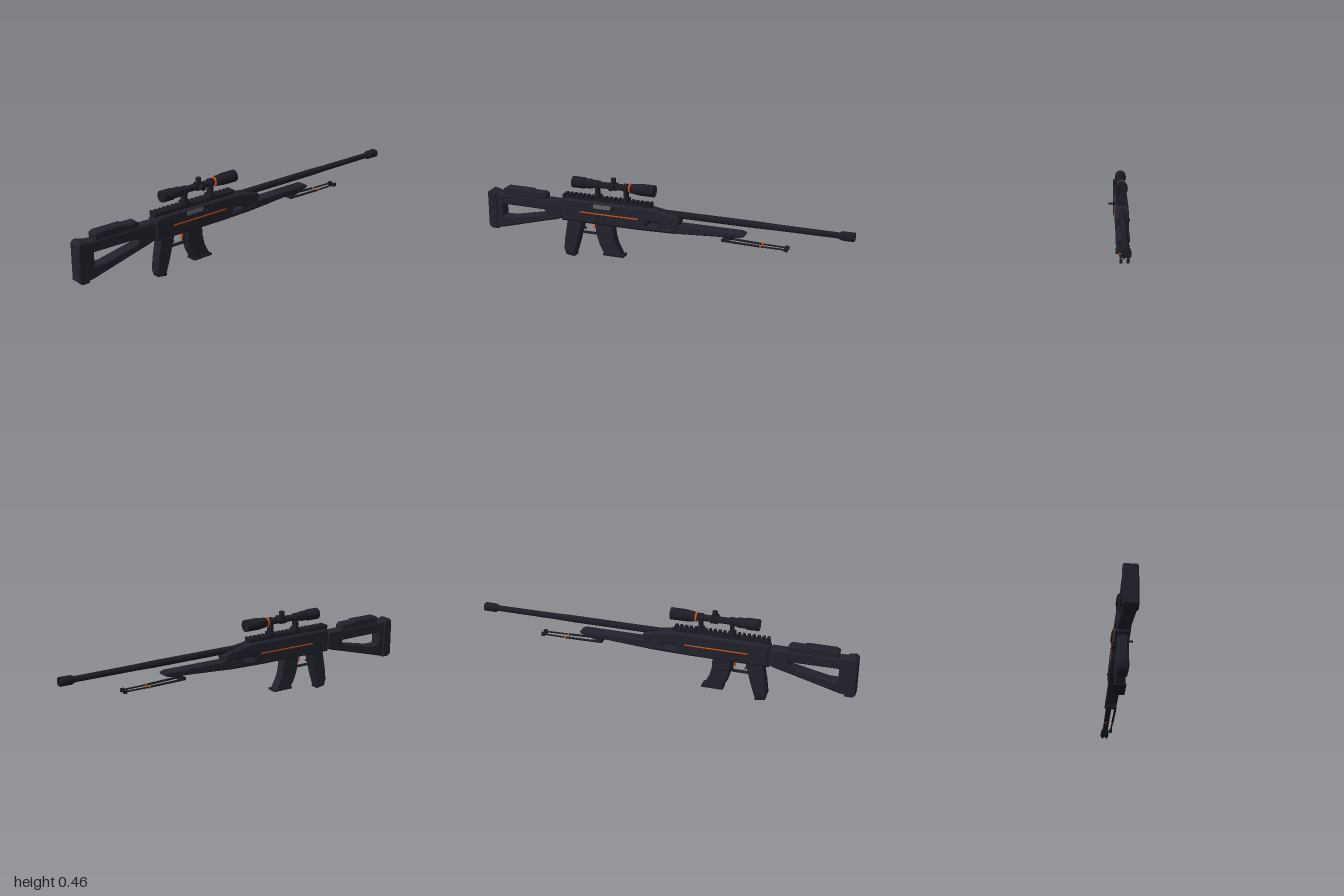
import * as THREE from 'three';
import { toCreasedNormals } from 'three/addons/utils/BufferGeometryUtils.js';

const material = (name, color) => {
  const m = new THREE.MeshStandardMaterial({ color });
  m.name = name;
  return m;
};

export function createModel() {
  const polymer = material('dark polymer', 0x22222d);
  const metal = material('dark metal', 0x1c1c25);
  const orange = material('orange accent', 0xd9540f);
  const steel = material('grey steel', 0x62666a);

  const model = new THREE.Group();
  model.name = 'rifle';
  const body = new THREE.Group();
  body.name = 'body';
  body.position.x = -0.015; // the bolt handle pushes the centre line off zero
  model.add(body);

  const add = (name, geo, mat, x = 0, y = 0, z = 0) => {
    const mesh = new THREE.Mesh(toCreasedNormals(geo, 0.6), mat);
    mesh.name = name;
    mesh.position.set(x, y, z);
    body.add(mesh);
    return mesh;
  };
  const box = (name, mat, w, h, d, x, y, z) => add(name, new THREE.BoxGeometry(w, h, d), mat, x, y, z);

  // Side profile given as [z, y] points, extruded across x with a bevel
  const path = (pts, T) => new T(pts.map(p => new THREE.Vector2(p[0], p[1])));
  const profile = (name, mat, pts, width, bevel = 0.008, holes = []) => {
    const shape = path(pts, THREE.Shape);
    shape.holes = holes.map(h => path(h, THREE.Path));
    const depth = width - 2 * bevel;
    const geo = new THREE.ExtrudeGeometry(shape, {
      depth, bevelEnabled: bevel > 0, bevelSize: bevel, bevelThickness: bevel, bevelOffset: -bevel, bevelSegments: 1,
    });
    geo.translate(0, 0, -depth / 2).rotateY(-Math.PI / 2);
    return add(name, geo, mat);
  };
  // Turned part along z: [radius, z] points with z rising
  const turned = (name, mat, pts, y, x = 0) =>
    add(name, new THREE.LatheGeometry(pts.map(p => new THREE.Vector2(p[0], p[1])), 16).rotateX(Math.PI / 2), mat, x, y, 0);
  const rod = (name, mat, a, b, r) => {
    const curve = new THREE.LineCurve3(new THREE.Vector3(...a), new THREE.Vector3(...b));
    return add(name, new THREE.TubeGeometry(curve, 1, r, 8), mat);
  };

  // Stock with its opening, butt pad and cheek rest
  profile('stock', polymer,
    [[0.97, 0.11], [0.97, 0.315], [0.9, 0.308], [0.57, 0.308], [0.555, 0.295], [0.555, 0.215], [0.6, 0.2], [0.66, 0.185], [0.92, 0.115]],
    0.062, 0.007, [[[0.91, 0.182], [0.91, 0.25], [0.665, 0.248], [0.658, 0.238], [0.67, 0.222], [0.86, 0.182]]]);
  profile('buttPad', polymer,
    [[0.945, 0.105], [0.985, 0.105], [1, 0.118], [1, 0.308], [0.985, 0.321], [0.945, 0.313]], 0.072, 0.006);
  profile('cheekRest', polymer,
    [[0.905, 0.3], [0.905, 0.337], [0.89, 0.347], [0.74, 0.347], [0.73, 0.34], [0.665, 0.34], [0.65, 0.328], [0.65, 0.3]], 0.056, 0.007);

  // Receiver with two open vents near the front
  const vent = (z, len) => [[z, 0.237], [z, 0.25], [z - 0.01, 0.256], [z - len, 0.253], [z - len - 0.008, 0.245], [z - len, 0.237]];
  profile('receiver', polymer,
    [[0.56, 0.203], [0.56, 0.315], [0.535, 0.328], [0.06, 0.328], [-0.06, 0.308], [-0.095, 0.298], [-0.106, 0.285], [-0.1, 0.24], [-0.075, 0.208], [0.13, 0.203]],
    0.07, 0.01, [vent(0.07, 0.052), vent(-0.012, 0.048)]);

  // Top rail with teeth
  box('rail', metal, 0.042, 0.016, 0.5, 0, 0.331, 0.305);
  for (let i = 0; i < 20; i++) box('railTooth', metal, 0.054, 0.013, 0.014, 0, 0.343, 0.545 - i * 0.0252);

  // Fore-end beneath the barrel
  profile('foreEnd', polymer,
    [[0.14, 0.208], [0.14, 0.225], [-0.09, 0.258], [-0.43, 0.259], [-0.45, 0.251], [-0.448, 0.242], [-0.425, 0.232], [-0.09, 0.21]], 0.062, 0.006);

  // Barrel and slotted muzzle
  turned('barrel', metal, [[0, -0.95], [0.015, -0.95], [0.016, -0.6], [0.018, -0.5], [0.018, 0.05], [0, 0.05]], 0.306);
  turned('muzzle', metal, [[0, -0.968], [0.023, -0.968], [0.023, -0.938], [0.017, -0.925], [0, -0.925]], 0.306);
  for (const s of [1, -1]) {
    const prong = new THREE.Shape();
    prong.absarc(0, 0, 0.023, -1.25, 1.25, false);
    const geo = new THREE.ExtrudeGeometry(prong, { depth: 0.034, bevelEnabled: false, curveSegments: 6 });
    if (s < 0) geo.rotateZ(Math.PI);
    add('muzzleProng', geo, metal, 0, 0.306, -1);
  }

  // Pistol grip, trigger and guard
  profile('grip', polymer,
    [[0.53, 0.21], [0.437, 0.21], [0.45, 0.16], [0.468, 0.09], [0.492, 0.014], [0.55, 0.022], [0.556, 0.04], [0.548, 0.11]], 0.054, 0.009);
  profile('gripBase', metal, [[0.493, 0.016], [0.49, 0.006], [0.497, 0], [0.546, 0.008], [0.55, 0.024]], 0.044, 0.003);
  box('triggerGuard', metal, 0.02, 0.007, 0.095, 0, 0.142, 0.413);
  box('guardFront', metal, 0.02, 0.065, 0.007, 0, 0.172, 0.368);
  profile('trigger', metal, [[0.452, 0.21], [0.438, 0.21], [0.442, 0.18], [0.43, 0.162], [0.436, 0.16], [0.45, 0.178]], 0.012, 0);
  box('magazineRelease', orange, 0.014, 0.03, 0.007, 0, 0.185, 0.381);

  // Curved magazine and floor plate
  profile('magazine', polymer,
    [[0.37, 0.21], [0.267, 0.21], [0.264, 0.15], [0.25, 0.1], [0.218, 0.038], [0.318, 0.038], [0.345, 0.085], [0.362, 0.14]], 0.054, 0.007);
  profile('magazineFloor', metal, [[0.325, 0.034], [0.325, 0.044], [0.212, 0.044], [0.209, 0.034]], 0.06, 0.002);
  profile('magazineRib', metal, [[0.362, 0.155], [0.362, 0.149], [0.265, 0.145], [0.266, 0.151]], 0.056, 0);

  // Side details: stripe, pins and selector on both sides
  for (const s of [1, -1]) {
    box('stripe', orange, 0.003, 0.006, 0.33, s * 0.0355, 0.265, 0.286);
    box('selector', metal, 0.01, 0.009, 0.05, s * 0.036, 0.235, 0.325);
    for (const z of [0.53, 0.35, -0.07])
      add('pin', new THREE.CylinderGeometry(0.007, 0.007, 0.01, 10).rotateZ(Math.PI / 2), metal, s * 0.035, z < 0 ? 0.275 : 0.25, z);
  }

  // Ejection port and bolt handle
  box('ejectionPort', steel, 0.006, 0.022, 0.1, 0.0335, 0.305, 0.322);
  const bolt = (name, r, len, x) =>
    add(name, new THREE.CylinderGeometry(r, r, len, 12).rotateZ(Math.PI / 2), metal, x, 0.303, 0.262);
  bolt('boltCollar', 0.011, 0.012, 0.038);
  bolt('boltHandle', 0.0055, 0.036, 0.051);

  // Scope: tube with eyepiece, objective, ring and lenses
  turned('scope', metal, [
    [0.025, 0.048], [0.025, 0.04], [0.031, 0.04], [0.031, 0.115], [0.026, 0.16], [0.017, 0.185], [0.017, 0.365],
    [0.026, 0.395], [0.026, 0.43], [0.03, 0.435], [0.03, 0.5], [0.025, 0.5], [0.025, 0.492]], 0.416);
  turned('scopeLensFront', metal, [[0, 0.047], [0.026, 0.047], [0.026, 0.055], [0, 0.055]], 0.416);
  turned('scopeLensRear', metal, [[0, 0.486], [0.026, 0.486], [0.026, 0.493], [0, 0.493]], 0.416);
  turned('scopeRing', orange, [[0.02, 0.171], [0.0255, 0.171], [0.0255, 0.179], [0.02, 0.179]], 0.416);
  const turret = new THREE.CylinderGeometry(0.014, 0.014, 0.03, 12);
  add('turretTop', turret, metal, 0, 0.445, 0.27);
  add('turretSide', turret.clone().rotateZ(Math.PI / 2), metal, 0.028, 0.416, 0.27);
  box('turretBlock', metal, 0.032, 0.036, 0.04, 0, 0.416, 0.27);

  // Scope mounts
  for (const z of [0.36, 0.198]) {
    box('mountPost', metal, 0.036, 0.06, 0.016, 0, 0.375, z);
    box('mountFoot', metal, 0.052, 0.016, 0.03, 0, 0.352, z);
    turned('mountRing', metal, [[0.015, z - 0.011], [0.022, z - 0.011], [0.022, z + 0.011], [0.015, z + 0.011]], 0.416);
  }

  // Folded bipod
  box('bipodBase', metal, 0.044, 0.022, 0.034, 0, 0.224, -0.365);
  box('bipodHinge', metal, 0.056, 0.014, 0.03, 0, 0.208, -0.345);
  for (const s of [1, -1]) {
    rod('bipodLeg', metal, [s * 0.023, 0.205, -0.34], [s * 0.019, 0.2, -0.54], 0.006);
    rod('bipodLegTip', metal, [s * 0.019, 0.2, -0.53], [s * 0.016, 0.199, -0.66], 0.0045);
    turned('bipodBand', orange, [[0.004, -0.539], [0.0075, -0.539], [0.0075, -0.531], [0.004, -0.531]], 0.2, s * 0.019);
    box('bipodFoot', metal, 0.014, 0.018, 0.018, s * 0.016, 0.199, -0.664);
  }
  return model;
}
